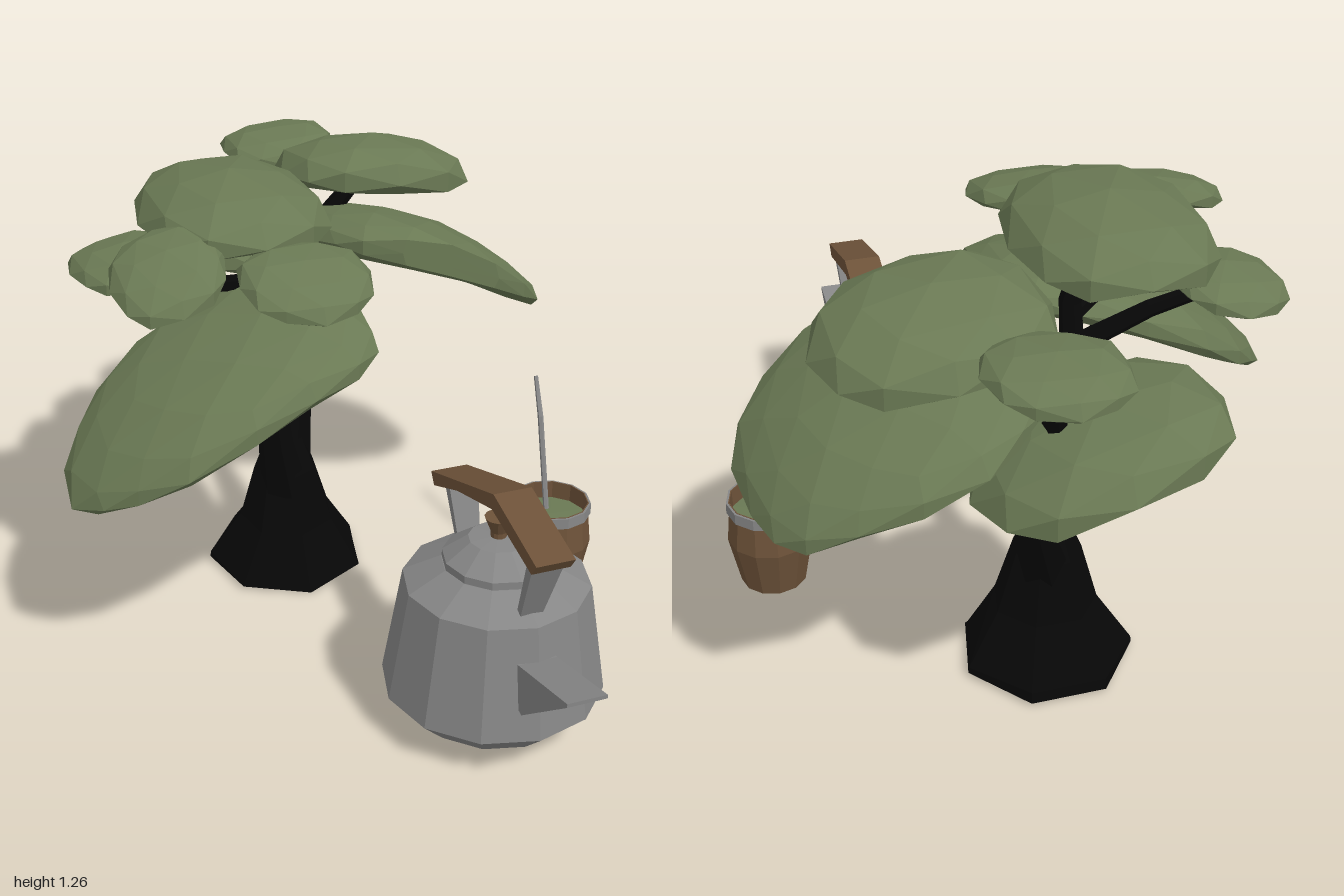
import * as THREE from 'three';

const mat = (name, color) => {
  const m = new THREE.MeshStandardMaterial({ color });
  m.name = name;
  return m;
};

// Facets a geometry so every face has its own flat normal
function facet(geo) {
  const g = geo.index ? geo.toNonIndexed() : geo;
  g.computeVertexNormals();
  return g;
}

const V = (x, y, z) => new THREE.Vector3(x, y, z);

// Tapering limb through points [x, y, z, radius], closed at both ends
function limb(points, sides) {
  const pts = points.map(p => V(p[0], p[1], p[2]));
  const pos = [], idx = [], up = V(0, 1, 0);
  points.forEach((p, i) => {
    const dir = pts[Math.min(i + 1, pts.length - 1)].clone().sub(pts[Math.max(i - 1, 0)]).normalize();
    const q = new THREE.Quaternion().setFromUnitVectors(up, dir);
    for (let j = 0; j < sides; j++) {
      const a = j / sides * Math.PI * 2;
      const v = V(Math.sin(a) * p[3], 0, Math.cos(a) * p[3]).applyQuaternion(q).add(pts[i]);
      pos.push(v.x, v.y, v.z);
      if (i > 0) {
        const k = (j + 1) % sides, A = (i - 1) * sides, B = i * sides;
        idx.push(A + j, A + k, B + j, A + k, B + k, B + j);
      }
    }
  });
  const last = (points.length - 1) * sides;
  for (let j = 1; j < sides - 1; j++) {
    idx.push(0, j + 1, j, last, last + j, last + j + 1);
  }
  const g = new THREE.BufferGeometry();
  g.setAttribute('position', new THREE.Float32BufferAttribute(pos, 3));
  g.setIndex(idx);
  return facet(g);
}

const blunt = (t, e) => Math.sign(t) * Math.pow(Math.abs(t), e);

// Leaf pad: squashed ball with a blunt rim, tilted, bent down, uneven, cut off at maxX and maxZ
function leafPad({ c, r, tiltX = 0, tiltZ = 0, bend = 0, bendZ = 0.02, below = 0.6, detail = 1, maxX = 1, maxZ = 1 }) {
  const g = new THREE.IcosahedronGeometry(1, detail);
  const p = g.attributes.position;
  for (let i = 0; i < p.count; i++) {
    const n = 1 + 0.04 * Math.sin(p.getX(i) * 5 + c[0] * 40) * Math.cos(p.getZ(i) * 4 + c[2] * 30);
    const u = blunt(p.getX(i), 0.88) * n, w = blunt(p.getZ(i), 0.88) * n;
    const h = blunt(p.getY(i), 0.85);
    const y = c[1] + r[1] * n * (h < 0 ? h * below : h) + tiltX * u + tiltZ * w - bend * u * u - bendZ * w * w;
    p.setXYZ(i, Math.min(maxX, c[0] + r[0] * u), y, Math.max(-1, Math.min(maxZ, c[2] + r[2] * w)));
  }
  return facet(g);
}

// Profile of [z, y] points given a width along x
function sidePlate(points, width, x) {
  const s = new THREE.Shape(points.map(p => new THREE.Vector2(p[0], p[1])));
  const g = new THREE.ExtrudeGeometry(s, { depth: width, bevelEnabled: false });
  g.translate(0, 0, -width / 2).rotateY(-Math.PI / 2).translate(x, 0, 0);
  return facet(g);
}

const lathe = (pts, sides) =>
  facet(new THREE.LatheGeometry(pts.map(p => new THREE.Vector2(p[0], p[1])), sides));

export function createModel() {
  const leaf = mat('leaf green', 0x6a7954);
  const bark = mat('dark bark', 0x070707);
  const metal = mat('grey metal', 0x868686);
  const wood = mat('brown wood', 0x6d5239);

  const model = new THREE.Group();
  const tree = new THREE.Group(); tree.name = 'tree';
  const kettle = new THREE.Group(); kettle.name = 'kettle';
  const cup = new THREE.Group(); cup.name = 'cup';
  model.add(tree, kettle, cup);
  const add = (parent, name, geo, material) => {
    const m = new THREE.Mesh(geo, material);
    m.name = name;
    parent.add(m);
    return m;
  };

  // Trunk with a flared foot, then two main stems and their branches
  add(tree, 'trunk', limb([
    [-0.03, 0, -0.405, 0.228], [-0.03, 0.012, -0.405, 0.226], [-0.03, 0.15, -0.39, 0.137],
    [-0.035, 0.31, -0.385, 0.09], [-0.035, 0.38, -0.39, 0.06]], 7), bark);
  const branches = {
    frontStem: [[-0.05, 0.26, -0.355, 0.07], [-0.08, 0.42, -0.33, 0.05], [-0.115, 0.72, -0.31, 0.038], [-0.13, 0.82, -0.3, 0.03]],
    frontBranch: [[-0.12, 0.73, -0.31, 0.035], [-0.2, 0.79, -0.22, 0.025], [-0.3, 0.86, -0.1, 0.02]],
    topBranch: [[-0.12, 0.76, -0.31, 0.033], [-0.11, 0.97, -0.3, 0.028], [-0.16, 1.17, -0.3, 0.02]],
    sideBranch: [[-0.11, 0.93, -0.3, 0.026], [-0.27, 0.98, -0.2, 0.022], [-0.42, 1.09, -0.06, 0.018]],
    nearBranch: [[-0.12, 0.9, -0.3, 0.026], [-0.12, 1.0, -0.12, 0.022], [-0.13, 1.09, 0.07, 0.018]],
    outerBranch: [[-0.12, 0.84, -0.3, 0.028], [-0.3, 0.94, -0.34, 0.022], [-0.47, 1.0, -0.37, 0.018]],
    rearStem: [[-0.02, 0.27, -0.415, 0.07], [0.02, 0.42, -0.465, 0.05], [0.07, 0.62, -0.535, 0.034], [0.065, 0.88, -0.555, 0.028]],
    rightBranch: [[0.065, 0.85, -0.55, 0.03], [0.15, 0.99, -0.55, 0.028], [0.27, 1.12, -0.55, 0.02]],
    backBranch: [[0.065, 0.8, -0.55, 0.03], [0.07, 0.93, -0.75, 0.025], [0.1, 1.12, -0.83, 0.02]]
  };
  for (const [name, pts] of Object.entries(branches)) add(tree, name, limb(pts, 6), bark);

  // Foliage pads
  const pads = [
    { c: [0.385, 0.905, -0.485], r: [0.355, 0.09, 0.34], tiltX: -0.14, tiltZ: 0.07, bend: 0.07, below: 0.75, detail: 2, maxZ: -0.19 },
    { c: [-0.315, 0.83, -0.02], r: [0.415, 0.09, 0.29], tiltX: 0.18, tiltZ: -0.045, bend: 0.09, below: 0.75, detail: 2, maxX: 0.045 },
    { c: [0.295, 1.12, -0.56], r: [0.275, 0.095, 0.225], tiltX: -0.03, tiltZ: 0.03, bend: 0.025 },
    { c: [-0.2, 1.16, -0.3], r: [0.245, 0.09, 0.315], bend: 0.03 },
    { c: [-0.03, 0.88, -0.75], r: [0.29, 0.095, 0.245], tiltX: -0.085, bend: 0.03, below: 0.7 },
    { c: [0.1, 1.125, -0.835], r: [0.165, 0.05, 0.165], tiltX: 0.01 },
    { c: [-0.44, 1.1, -0.04], r: [0.145, 0.055, 0.155], tiltX: 0.035, tiltZ: -0.05 },
    { c: [-0.13, 1.085, 0.09], r: [0.17, 0.052, 0.155], tiltZ: -0.035 },
    { c: [-0.475, 1.01, -0.37], r: [0.145, 0.05, 0.165], tiltX: 0.02 }
  ];
  pads.forEach((p, i) => add(tree, 'leafPad' + (i + 1), leafPad(p), leaf));

  // Kettle body, lid and knob
  const kx = 0.218, kz = 0.513;
  const turned = (name, pts, material) =>
    add(kettle, name, lathe(pts, 12), material).position.set(kx, 0, kz);
  turned('kettleBody', [[0, 0.032], [0.205, 0.032], [0.283, 0.108], [0.235, 0.405], [0.14, 0.455], [0, 0.455]], metal);
  turned('kettleLid', [[0.138, 0.45], [0.138, 0.475], [0.075, 0.522], [0, 0.528]], metal);
  turned('lidKnob', [[0.02, 0.52], [0.02, 0.54], [0.037, 0.58], [0, 0.58]], wood);

  // Wedge spout, handle posts and bent grip
  add(kettle, 'spout', sidePlate([[0.72, 0.205], [0.785, 0.19], [1.0, 0.365], [1.0, 0.375], [0.755, 0.315], [0.7, 0.31]], 0.102, kx), metal);
  const posts = {
    frontPost: [[0.69, 0.42], [0.71, 0.42], [0.782, 0.605], [0.755, 0.61]],
    backPost: [[0.325, 0.42], [0.345, 0.42], [0.295, 0.585], [0.268, 0.575]]
  };
  for (const [name, pts] of Object.entries(posts)) {
    const g = sidePlate(pts, 0.085, kx), p = g.attributes.position;
    for (let i = 0; i < p.count; i++) {
      if (p.getY(i) < 0.5) p.setX(i, kx + (p.getX(i) - kx) * 0.7);
    }
    add(kettle, name, facet(g), metal);
  }
  add(kettle, 'handleGrip', sidePlate([
    [0.79, 0.59], [0.812, 0.622], [0.575, 0.685], [0.207, 0.556], [0.228, 0.525], [0.37, 0.585], [0.57, 0.642]], 0.1, kx), wood);

  // Open cup with a metal band, filled with leaves, and a bent straw
  const cx = 0.607, cz = 0.045;
  const cupPart = (name, pts, material) =>
    add(cup, name, lathe(pts, 12), material).position.set(cx, 0, cz);
  cupPart('cupBody', [[0, 0.033], [0.09, 0.033], [0.117, 0.175], [0.107, 0.265], [0.107, 0.295], [0.104, 0.295], [0.102, 0.2]], wood);
  cupPart('cupRim', [[0.107, 0.263], [0.114, 0.263], [0.113, 0.294], [0.107, 0.294]], metal);
  cupPart('cupFilling', [[0.103, 0.245], [0, 0.25]], leaf);
  add(cup, 'straw', limb([
    [0.612, 0.22, 0.02, 0.008], [0.62, 0.5, -0.07, 0.008], [0.632, 0.595, -0.135, 0.006]], 6), metal);

  return model;
}
